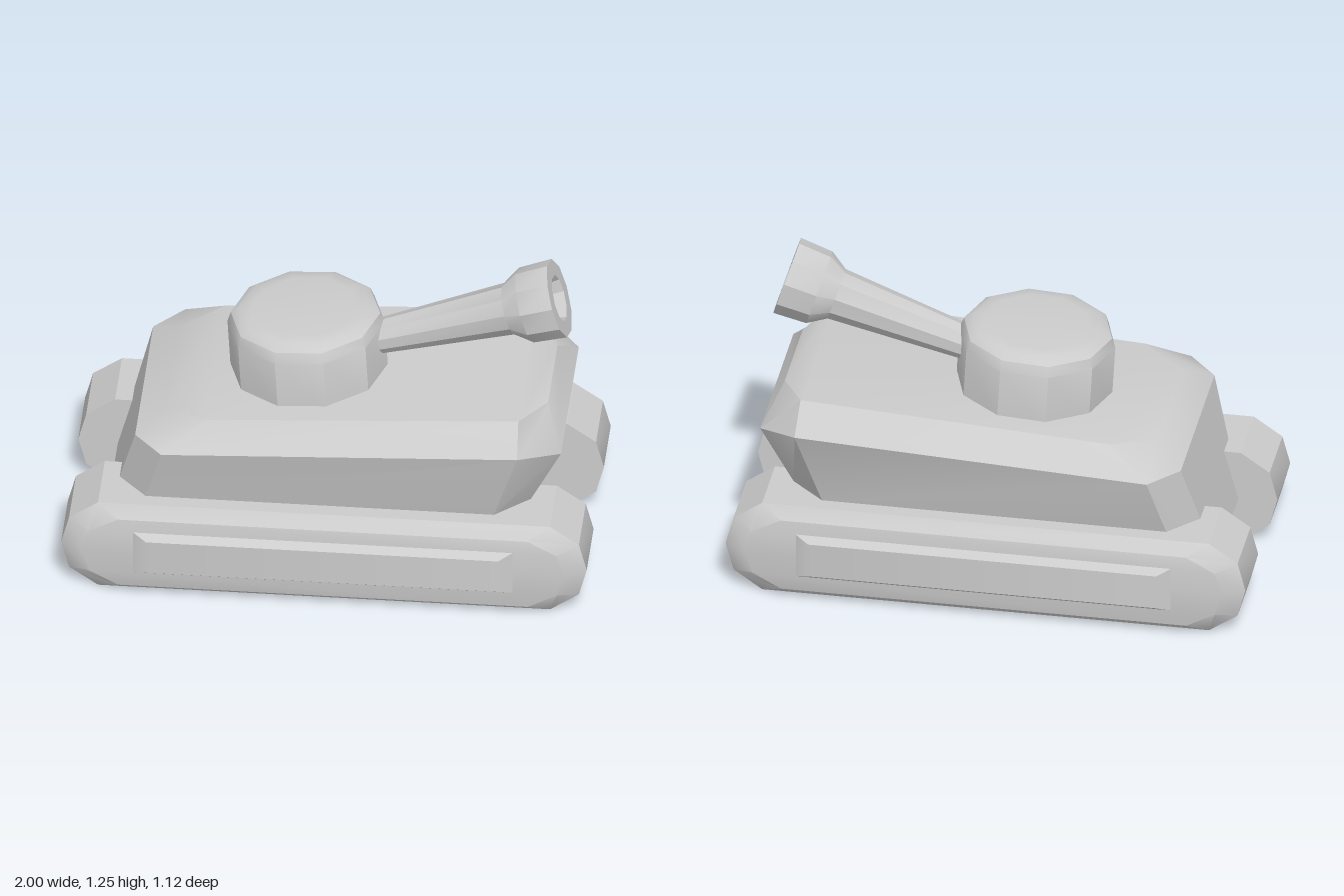
import * as THREE from 'three';
import { toCreasedNormals } from 'three/addons/utils/BufferGeometryUtils.js';

const grey = new THREE.MeshStandardMaterial({ color: 0xcccccc });

function part(name, geometry) {
  const mesh = new THREE.Mesh(toCreasedNormals(geometry, 0.6), grey);
  mesh.name = name;
  return mesh;
}

// Joins rings of [x, y, z] points and closes both ends with strips of quads.
function loft(rings) {
  const pos = [];
  const quad = (a, b, c, d) => pos.push(...a, ...b, ...c, ...a, ...c, ...d);
  const n = rings[0].length;
  for (let r = 0; r < rings.length - 1; r++) {
    for (let i = 0; i < n; i++) {
      const j = (i + 1) % n;
      quad(rings[r][i], rings[r][j], rings[r + 1][j], rings[r + 1][i]);
    }
  }
  const first = rings[0], last = rings[rings.length - 1];
  for (let k = 0; k < n / 2 - 1; k++) {
    quad(last[k], last[k + 1], last[n - 2 - k], last[n - 1 - k]);
    quad(first[n - 1 - k], first[n - 2 - k], first[k + 1], first[k]);
  }
  const geometry = new THREE.BufferGeometry();
  geometry.setAttribute('position', new THREE.Float32BufferAttribute(pos, 3));
  return geometry;
}

// Ten-sided turned part with a corner facing +x
function turned(profile) {
  const points = profile.map(([r, y]) => new THREE.Vector2(r, y));
  return new THREE.LatheGeometry(points, 10, Math.PI / 2);
}

// Outline of a track with half length, half height and height of the middle
function trackRing(hx, hy, z) {
  const right = [[hx - 0.14, -hy], [hx - 0.03, -hy * 0.6], [hx, 0], [hx - 0.03, hy * 0.6], [hx - 0.14, hy]];
  const left = right.map(([x, y]) => [-x, y]).reverse();
  return [...right, ...left].map(([x, y]) => [x, y + 0.192, z]);
}

function rectRing(hx, y0, y1, z) {
  return [[-hx, y0, z], [hx, y0, z], [hx, y1, z], [-hx, y1, z]];
}

function makeTrack(name) {
  const track = new THREE.Group();
  track.name = name;
  track.add(part('trackBelt', loft([
    trackRing(1, 0.19, 0.205), trackRing(1, 0.19, 0.48), trackRing(0.92, 0.15, 0.53),
  ])));
  track.add(part('sidePanel', loft([
    rectRing(0.73, 0.1, 0.29, 0.525), rectRing(0.67, 0.125, 0.265, 0.56),
  ])));
  return track;
}

// Mirrors one side of the hull into a full ring
function hullRing(side) {
  return [...side, ...side.map(([x, y, z]) => [x, y, -z]).reverse()];
}

export function createModel() {
  const model = new THREE.Group();
  model.name = 'tank';

  // Hull: tapered lower body, wide belt and sloping deck
  model.add(part('hull', loft([
    hullRing([[-0.85, 0.18, 0.25], [-0.74, 0.18, 0.36], [0.57, 0.18, 0.36], [0.68, 0.18, 0.25]]),
    hullRing([[-0.795, 0.38, 0.3], [-0.685, 0.38, 0.42], [0.64, 0.38, 0.42], [0.77, 0.38, 0.3]]),
    hullRing([[-0.73, 0.62, 0.36], [-0.62, 0.62, 0.485], [0.735, 0.685, 0.485], [0.89, 0.635, 0.355]]),
    hullRing([[-0.62, 0.69, 0.27], [-0.46, 0.72, 0.38], [0.73, 0.79, 0.38], [0.825, 0.755, 0.19]]),
  ])));

  // Tracks
  const leftTrack = makeTrack('frontTrack');
  const rightTrack = makeTrack('rearTrack');
  rightTrack.rotation.y = Math.PI;
  model.add(leftTrack, rightTrack);

  // Turret, tilted with the deck
  const turret = part('turret', turned([
    [0, 0], [0.3, 0], [0.3, 0.235], [0.285, 0.275], [0.25, 0.297], [0.2, 0.303], [0, 0.305],
  ]));
  turret.position.set(-0.1, 0.7, 0);
  turret.rotation.z = 0.058;
  model.add(turret);

  // Raised gun with a flared, hollow muzzle
  const gun = part('gun', turned([
    [0, 0], [0.062, 0], [0.1, 0.6], [0.145, 0.67], [0.152, 0.8], [0.09, 0.8], [0.045, 0.56], [0, 0.56],
  ]));
  const pitch = 0.31;
  gun.position.set(0.85 - 0.8 * Math.cos(pitch), 1.105 - 0.8 * Math.sin(pitch), 0);
  gun.rotation.z = pitch - Math.PI / 2;
  model.add(gun);

  return model;
}
